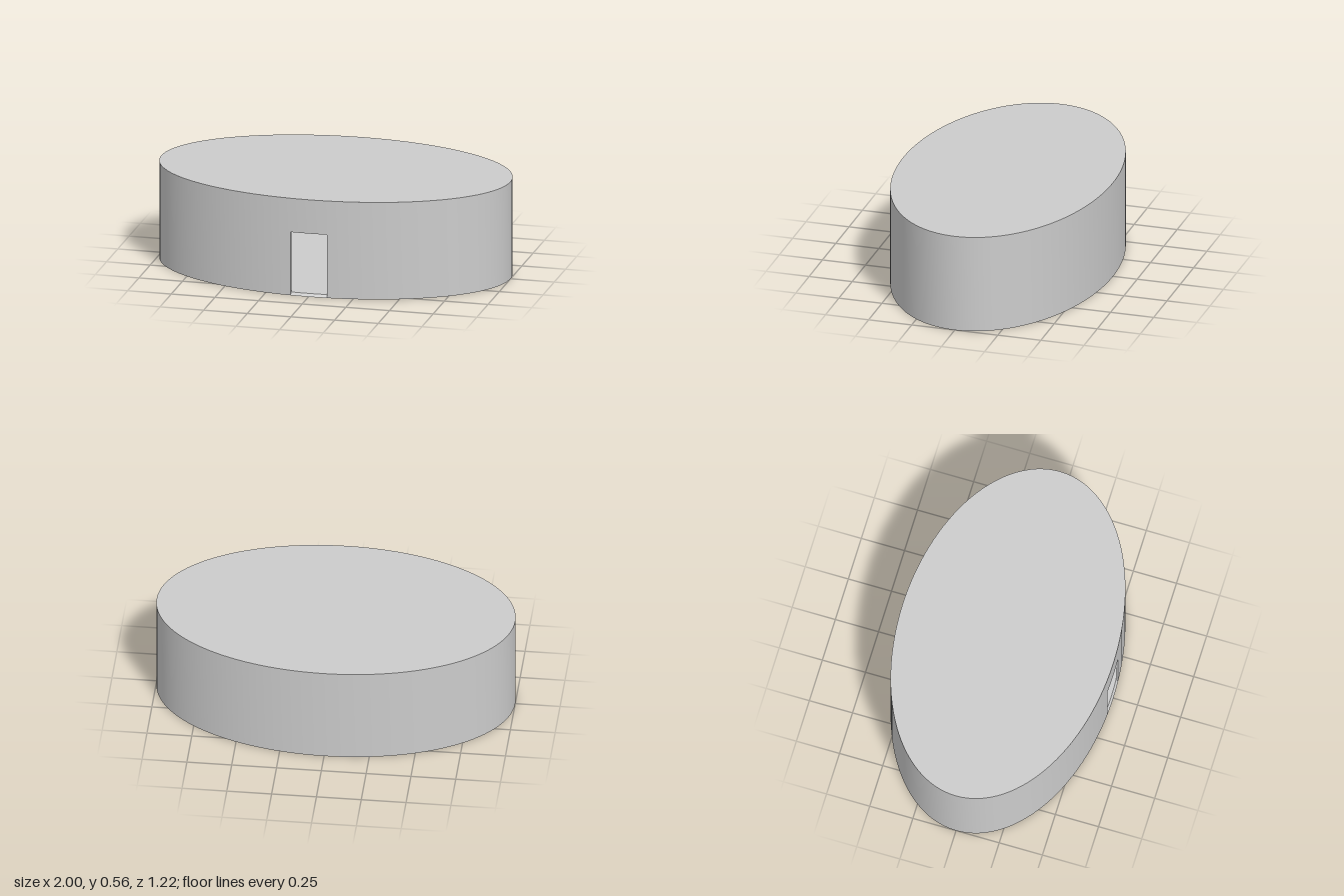
import * as THREE from 'three';
import { mergeGeometries, toCreasedNormals } from 'three/addons/utils/BufferGeometryUtils.js';

const DEPTH = 0.61;        // ellipse half depth (half width is 1)
const HEIGHT = 0.563;
const INNER = 0.98;        // inner wall radius before squashing
const SLAB = 0.016;        // floor and roof thickness
const DOOR_TOP = 0.367;
const DOOR_ANGLE = 0.105;  // half angle of the doorway, centred on +z

// Sweep a radius/height profile through part of the ellipse
function sweep(profile, start, length, segments) {
  const points = profile.map(([r, y]) => new THREE.Vector2(r, y));
  return new THREE.LatheGeometry(points, segments, start, length);
}

function smooth(parts) {
  const geometry = mergeGeometries(parts);
  geometry.scale(1, 1, DEPTH);
  return toCreasedNormals(geometry, 0.5);
}

export function createModel() {
  const group = new THREE.Group();
  const grey = new THREE.MeshStandardMaterial({ color: 0xcccccc });
  const greyDouble = new THREE.MeshStandardMaterial({ color: 0xcccccc, side: THREE.DoubleSide });
  const ceiling = HEIGHT - SLAB;

  const add = (name, geometry, material) => {
    const mesh = new THREE.Mesh(geometry, material);
    mesh.name = name;
    group.add(mesh);
  };

  // Hollow oval shell: full section all round, lintel and sloped sill at the doorway
  const around = [DOOR_ANGLE, 2 * Math.PI - 2 * DOOR_ANGLE, 116];
  const doorway = [-DOOR_ANGLE, 2 * DOOR_ANGLE, 4];
  add('ovalShell', smooth([
    sweep([[0, 0], [1, 0], [1, HEIGHT], [0, HEIGHT]], ...around),
    sweep([[0, ceiling], [INNER, ceiling], [INNER, SLAB], [0, SLAB]], ...around),
    sweep([[0, ceiling], [INNER, ceiling], [INNER, DOOR_TOP], [1, DOOR_TOP], [1, HEIGHT], [0, HEIGHT]], ...doorway),
    sweep([[0, 0], [1, 0], [INNER, SLAB], [0, SLAB]], ...doorway),
  ]), grey);

  // Door jambs closing the wall thickness on both sides
  const section = new THREE.Shape([[INNER, SLAB], [1, 0], [1, DOOR_TOP], [INNER, DOOR_TOP]]
    .map(([r, y]) => new THREE.Vector2(r, y)));
  for (const side of [-1, 1]) {
    const jamb = new THREE.ShapeGeometry(section);
    jamb.rotateY(side * DOOR_ANGLE - Math.PI / 2);
    add(side > 0 ? 'leftDoorJamb' : 'rightDoorJamb', smooth([jamb]), greyDouble);
  }

  return group;
}
